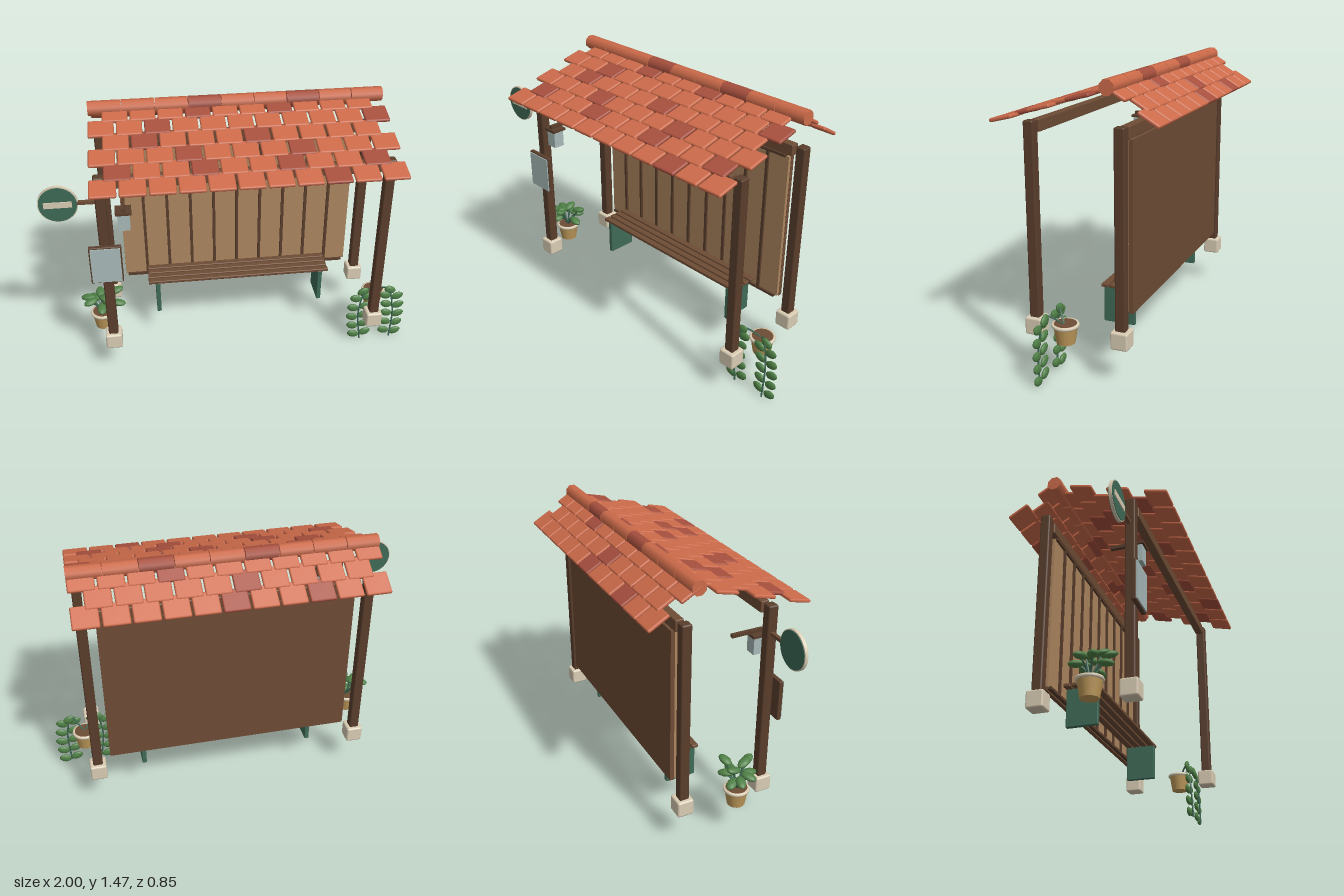
import * as THREE from 'three';
import { RoundedBoxGeometry } from 'three/addons/geometries/RoundedBoxGeometry.js';

const mat = (name, color) => {
  const m = new THREE.MeshStandardMaterial({ color });
  m.name = name;
  return m;
};

export function createModel() {
  const root = new THREE.Group();
  root.name = 'shelter';
  const darkWood = mat('dark wood', 0x5a3e2c), midWood = mat('middle wood', 0x6e4c35);
  const board = mat('board wood', 0xac865f), tileRed = mat('roof tile', 0xcd6b4a);
  const tileDark = mat('dark roof tile', 0xa8503e), green = mat('painted green', 0x3f6b57);
  const stone = mat('pale stone', 0xdacdb4), clay = mat('tan clay', 0xc09a5a);
  const leafGreen = mat('leaf green', 0x4f8046), glass = mat('pale glass', 0xa8bab8);

  const group = (name, parent = root) => {
    const g = new THREE.Group();
    g.name = name;
    parent.add(g);
    return g;
  };
  const add = (name, geo, material, pos, parent = root) => {
    const m = new THREE.Mesh(geo, material);
    m.name = name;
    m.position.set(...pos);
    parent.add(m);
    return m;
  };
  const box = (name, size, pos, material, parent, bevel = 0) => add(name,
    bevel ? new RoundedBoxGeometry(...size, 1, bevel) : new THREE.BoxGeometry(...size),
    material, pos, parent);

  // Four posts on stone feet
  for (const x of [-0.692, 0.78]) for (const z of [0.228, -0.228]) {
    box('post', [0.053, 0.98, 0.053], [x, 0.777, z], darkWood, root, 0.008);
    box('postFoot', [0.09, 0.09, 0.09], [x, 0.245, z], stone, root, 0.01);
  }
  // Beams between the posts
  for (const z of [0.228, -0.228]) {
    box('beam', [1.375, 0.06, 0.045], [0.045, 1.232, z], midWood, root, 0.005);
  }

  // Back wall: backing, boards, battens and rails
  const wall = group('backWall');
  box('backing', [1.32, 0.85, 0.022], [0.049, 0.771, -0.246], midWood, wall);
  box('boards', [1.318, 0.834, 0.018], [0.049, 0.77, -0.226], board, wall);
  for (let i = 0; i < 9; i++) {
    box('batten', [0.016, 0.832, 0.012], [-0.482 + i * 0.133, 0.77, -0.212], darkWood, wall);
  }
  for (const y of [0.351, 1.191]) {
    box('wallRail', [1.29, 0.014, 0.02], [0.047, y, -0.215], darkWood, wall);
  }

  // Bench: slab legs and four slats
  const bench = group('bench');
  for (const x of [-0.43, 0.521]) {
    box('benchLeg', [0.025, 0.2, 0.168], [x, 0.3, -0.108], green, bench, 0.004);
  }
  for (let i = 0; i < 4; i++) {
    box('benchSlat', [1.05, 0.018, 0.036], [0.043, 0.407, -0.043 - i * 0.0445], midWood, bench, 0.004);
  }

  // Roof: staggered tile rows on two slopes, with a few darker tiles in each row
  const roof = group('roof');
  const tileGeo = new RoundedBoxGeometry(0.132, 0.019, 0.122, 1, 0.008);
  const slope = (name, darkTiles, z0, y0, angle, side, pitch) => {
    const g = group(name, roof);
    darkTiles.forEach((dark, r) => {
      const n = r % 2 ? 10 : 11, d = 0.06 + r * pitch;
      for (let i = 0; i < n; i++) {
        const t = add('roofTile', tileGeo, dark.includes(i) ? tileDark : tileRed,
          [0.045 + (i - (n - 1) / 2) * 0.1427, y0 + d * Math.sin(angle),
            z0 - side * d * Math.cos(angle)], g);
        t.rotation.x = side * (angle - 0.06);
      }
    });
  };
  slope('frontSlope', [[8], [0, 3, 6, 9], [3, 7], [1, 5], [2, 10], [3, 6]], 0.421, 1.253, 0.296, 1, 0.104);
  slope('rearSlope', [[2, 5], [4], [7]], -0.426, 1.279, 0.59, -1, 0.096);
  for (let i = 0; i < 9; i++) {
    const geo = new THREE.CylinderGeometry(0.039, 0.039, 0.17, 8);
    geo.rotateY(Math.PI / 8).rotateZ(Math.PI / 2);
    const m = i === 3 || i === 6 ? tileDark : tileRed;
    add('ridgeTile', geo, m, [-0.735 + 0.1735 * (i + 0.5), 1.443, -0.18], roof);
  }

  // Round sign on an arm
  const sign = group('roundSign');
  const disc = (name, r, depth, material) => {
    const geo = new THREE.CylinderGeometry(r, r, depth, 32).rotateX(Math.PI / 2);
    add(name, geo, material, [-0.9, 1.124, 0.225], sign);
  };
  disc('signRim', 0.1, 0.016, stone);
  disc('signFace', 0.095, 0.022, green);
  box('signBand', [0.14, 0.032, 0.005], [-0.9, 1.124, 0.238], stone, sign);
  box('signArm', [0.12, 0.018, 0.018], [-0.75, 1.124, 0.225], midWood, sign);

  // Hanging lantern with its bracket
  const lantern = group('lantern');
  box('lanternBracket', [0.02, 0.018, 0.175], [-0.584, 1.08, 0.172], darkWood, lantern);
  box('lanternCap', [0.082, 0.014, 0.082], [-0.584, 1.063, 0.228], darkWood, lantern);
  box('lanternGlass', [0.062, 0.094, 0.062], [-0.584, 1.009, 0.228], glass, lantern);

  // Notice board on the front post
  const notice = group('noticeBoard');
  box('noticeFrame', [0.168, 0.22, 0.024], [-0.692, 0.768, 0.264], darkWood, notice, 0.004);
  box('noticePane', [0.154, 0.204, 0.006], [-0.692, 0.768, 0.279], glass, notice);

  // Pots with rim and soil
  const pot = (x, z) => {
    const g = group('pot');
    add('potBody', new THREE.CylinderGeometry(0.061, 0.046, 0.09, 16), clay, [x, 0.245, z], g);
    const rim = new THREE.LatheGeometry([[0.056, 0.284], [0.066, 0.284], [0.069, 0.292],
      [0.066, 0.3], [0.056, 0.3]].map(p => new THREE.Vector2(...p)), 20);
    add('potRim', rim, stone, [x, 0, z], g);
    add('soil', new THREE.CylinderGeometry(0.06, 0.06, 0.008, 16), midWood, [x, 0.294, z], g);
    return g;
  };
  const stem = (points, parent) => {
    const curve = new THREE.CatmullRomCurve3(points.map(p => new THREE.Vector3(...p)));
    add('stem', new THREE.TubeGeometry(curve, 14, 0.005, 5), green, [0, 0, 0], parent);
    return curve;
  };
  const leafGeo = new THREE.SphereGeometry(1, 10, 8);
  const leaf = (pos, size, parent) => {
    const m = add('leaf', leafGeo, leafGreen, pos, parent);
    m.scale.set(...size);
    return m;
  };

  // Upright leafy plant, each leaf on its own stem
  const px = -0.752, pz = 0.052, plant = pot(px, pz);
  for (const [x, y, z] of [[-0.81, 0.392, 0.085], [-0.825, 0.385, 0.03], [-0.735, 0.425, 0.1],
    [-0.668, 0.42, 0.03], [-0.66, 0.358, 0.065], [-0.75, 0.368, 0.125], [-0.79, 0.362, 0],
    [-0.715, 0.422, 0.13], [-0.71, 0.375, 0.01], [-0.755, 0.412, 0.03]]) {
    stem([[px, 0.29, pz], [px + (x - px) * 0.4, 0.34, pz + (z - pz) * 0.4], [x, y, z]], plant);
    const l = leaf([x, y, z], [0.043, 0.017, 0.026], plant);
    l.rotation.set(0, -Math.atan2(z - pz, x - px), y > 0.4 ? 0.25 : -0.15, 'YXZ');
  }

  // Trailing plant with two vines
  const hx = 0.83, trailing = pot(hx, 0.045);
  for (const [side, xTop, xMid, xEnd] of [[-1, 0.765, 0.725, 0.745], [1, 0.895, 0.93, 0.925]]) {
    const curve = stem([[hx, 0.29, 0.05], [xTop, 0.35, 0.115], [xMid, 0.21, 0.138],
      [xEnd, 0.012, 0.145]], trailing);
    for (let i = 0; i < 5; i++) for (const s of [-1, 1]) {
      const p = curve.getPointAt(0.36 + i * 0.143 + s * side * 0.012);
      const l = leaf([p.x + s * 0.035, Math.max(p.y, 0.028), 0.13],
        [0.036, 0.024, 0.012], trailing);
      l.rotation.z = s * 0.35;
    }
    leaf([xTop + side * 0.015, 0.335, 0.115], [0.036, 0.025, 0.013], trailing).rotation.z = -side * 0.5;
  }
  return root;
}
